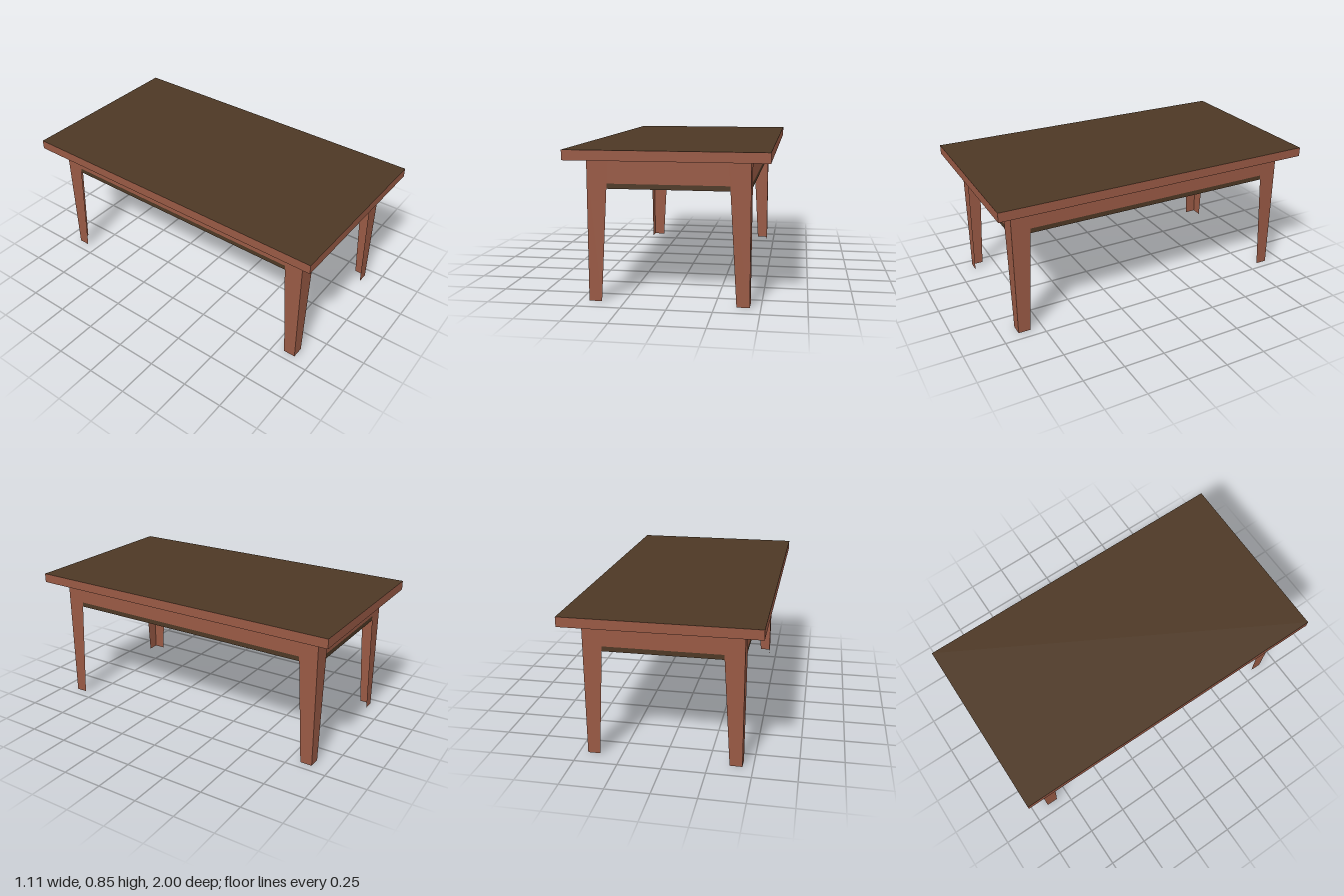
import * as THREE from 'three';

export function createModel() {
  const table = new THREE.Group();
  table.name = 'table';

  const redWood = new THREE.MeshStandardMaterial({ color: 0x985944, side: THREE.DoubleSide });
  redWood.name = 'red wood';
  const darkWood = new THREE.MeshStandardMaterial({ color: 0x4d3825, side: THREE.DoubleSide });
  darkWood.name = 'dark wood';

  const TOP = 0.848, RIM = 0.792, APRON = 0.8, BAND = 0.658, BOTTOM = 0.63;

  // Flat upright board, facing outward at a distance from the centre
  function board(parent, name, points, distance, material) {
    const shape = new THREE.Shape(points.map(([x, y]) => new THREE.Vector2(x, y)));
    const mesh = new THREE.Mesh(new THREE.ShapeGeometry(shape), material);
    mesh.name = name;
    mesh.position.z = distance;
    parent.add(mesh);
  }
  const rect = (h, y0, y1) => [[-h, y0], [h, y0], [h, y1], [-h, y1]];

  // Tabletop surface, open underneath within its rim
  const surface = new THREE.Mesh(new THREE.PlaneGeometry(1.1, 1.994), darkWood);
  surface.name = 'tabletop';
  surface.rotation.x = -Math.PI / 2;
  surface.position.y = TOP;
  table.add(surface);

  // Each side carries a rim, an apron with a dark lower band and two leg boards
  ['front', 'left', 'back', 'right'].forEach((name, i) => {
    const side = new THREE.Group();
    side.name = name + 'Side';
    side.rotation.y = i * Math.PI / 2;
    table.add(side);

    const short = i % 2 === 0;
    const [rimHalf, rimDistance] = short ? [0.55, 0.997] : [0.997, 0.55];
    const [half, distance] = short ? [0.445, 0.897] : [0.897, 0.445];
    const inset = 0.003;

    board(side, 'tabletopRim', rect(rimHalf, RIM, TOP), rimDistance, redWood);
    board(side, 'apron', rect(half - inset, BAND, APRON), distance - inset, redWood);
    board(side, 'apronLowerBand', rect(half - inset, BOTTOM, BAND), distance - inset, darkWood);

    // Tapered leg boards meet in an L at every corner
    for (const s of [-1, 1]) {
      board(side, 'legBoard', [
        [s * half, 0], [s * half, APRON],
        [s * (half - 0.119), APRON], [s * (half - 0.072), 0],
      ], distance, redWood);
    }
  });

  // Slight turn of the whole table
  table.rotation.y = -0.005;
  const model = new THREE.Group();
  model.name = 'diningTable';
  model.add(table);
  return model;
}
